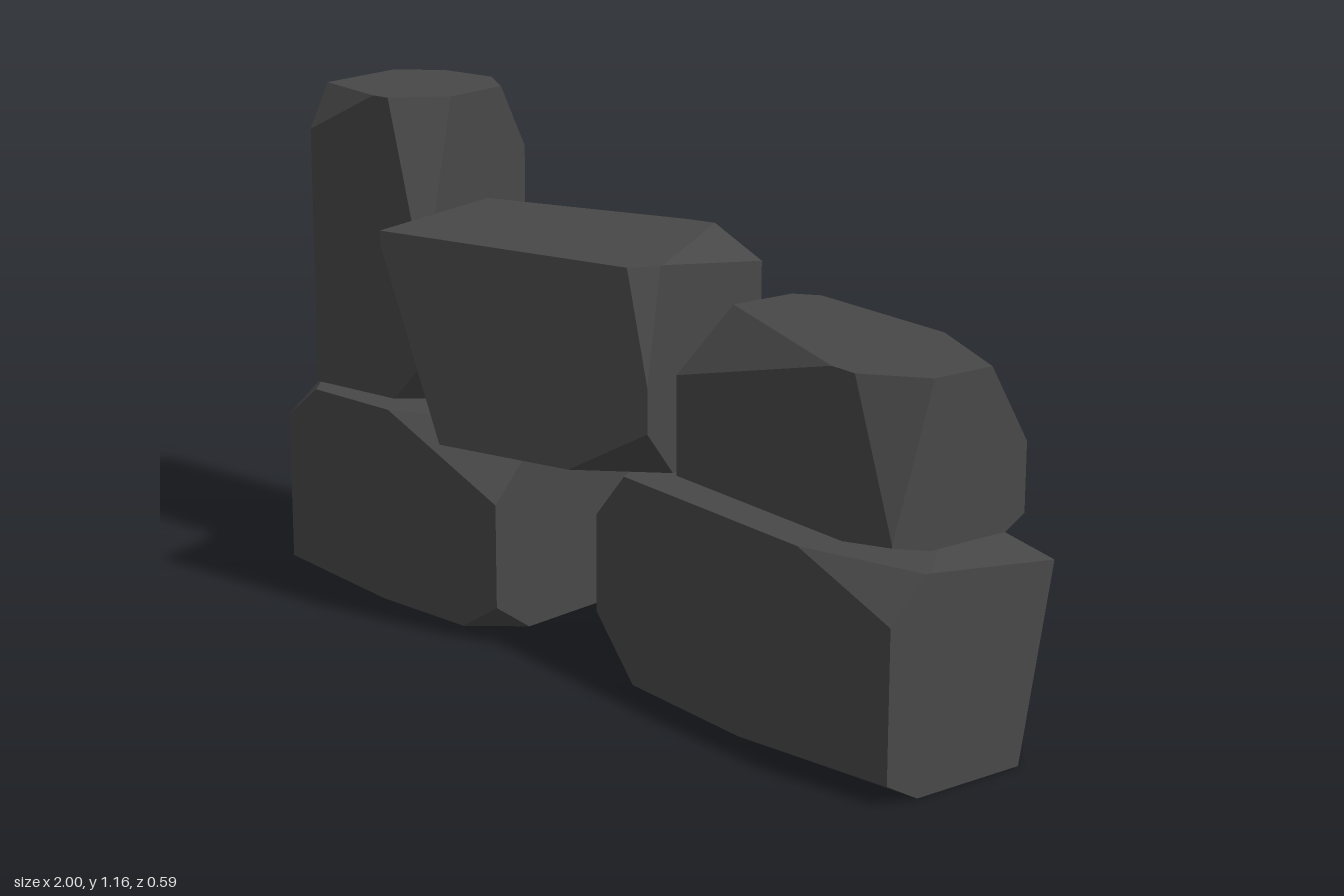
import * as THREE from 'three';
import { ConvexGeometry } from 'three/addons/geometries/ConvexGeometry.js';

const stone = new THREE.MeshStandardMaterial({ color: 0x484848 });
stone.name = 'dark stone';

// A block whose eight corners are sliced off. Each cut is the length removed
// along x, y and z; 0 leaves the corner whole. Corner order:
// x- y- z-, x- y- z+, x- y+ z-, x- y+ z+, then the same four for x+.
function rock(name, [w, h, d], [x, y, z], turn, cuts) {
  const points = [];
  cuts.forEach((cut, i) => {
    const s = [i & 4 ? 1 : -1, i & 2 ? 1 : -1, i & 1 ? 1 : -1];
    const corner = new THREE.Vector3(s[0] * w / 2, s[1] * h / 2, s[2] * d / 2);
    if (!cut) return points.push(corner);
    for (let axis = 0; axis < 3; axis++) {
      const p = corner.clone();
      p.setComponent(axis, p.getComponent(axis) - s[axis] * cut[axis]);
      points.push(p);
    }
  });
  const mesh = new THREE.Mesh(new ConvexGeometry(points), stone);
  mesh.name = name;
  mesh.position.set(x, y, z);
  mesh.rotation.y = turn;
  return mesh;
}

export function createModel() {
  const group = new THREE.Group();
  group.name = 'stacked rocks';
  group.add(
    // Two rocks on the ground
    rock('shortBaseRock', [0.7, 0.46, 0.46], [-0.65, 0.23, -0.07], 0, [
      0, [0.32, 0.03, 0.25], [0.08, 0.44, 0.08], [0.1, 0.08, 0.12],
      [0.05, 0.36, 0.04], [0.11, 0.07, 0.1], [0.55, 0.09, 0.12], [0.35, 0.15, 0.15],
    ]),
    rock('longBaseRock', [0.95, 0.46, 0.43], [0.496, 0.23, 0.005], -0.164, [
      0, [0.13, 0.13, 0.1], [0.2, 0.1, 0.07], [0.1, 0.11, 0.15],
      [0.09, 0.42, 0.08], [0.46, 0.045, 0.08], [0.3, 0.04, 0.33], [0.28, 0.09, 0.09],
    ]),
    // Three rocks resting on top
    rock('middleRock', [0.69, 0.46, 0.46], [-0.215, 0.69, 0.003], 0.188, [
      [0.05, 0.03, 0.06], [0.15, 0.43, 0.2], [0.5, 0.08, 0.06], 0,
      0, [0.2, 0.11, 0.1], [0.12, 0.07, 0.41], [0.05, 0.25, 0.06],
    ]),
    rock('lowRock', [0.69, 0.35, 0.35], [0.535, 0.635, -0.04], -0.17, [
      0, 0, [0.05, 0.08, 0.04], [0.5, 0.13, 0.15],
      [0.04, 0.03, 0.05], [0.15, 0.025, 0.1], [0.25, 0.17, 0.1], [0.12, 0.32, 0.1],
    ]),
    rock('uprightRock', [0.345, 0.7, 0.35], [-0.795, 0.81, -0.08], 0.087, [
      [0.08, 0.18, 0.06], 0, [0.1, 0.03, 0.07], [0.2, 0.1, 0.06],
      0, [0.1, 0.11, 0.09], [0.1, 0.15, 0.08], [0.1, 0.42, 0.1],
    ]),
  );
  return group;
}
